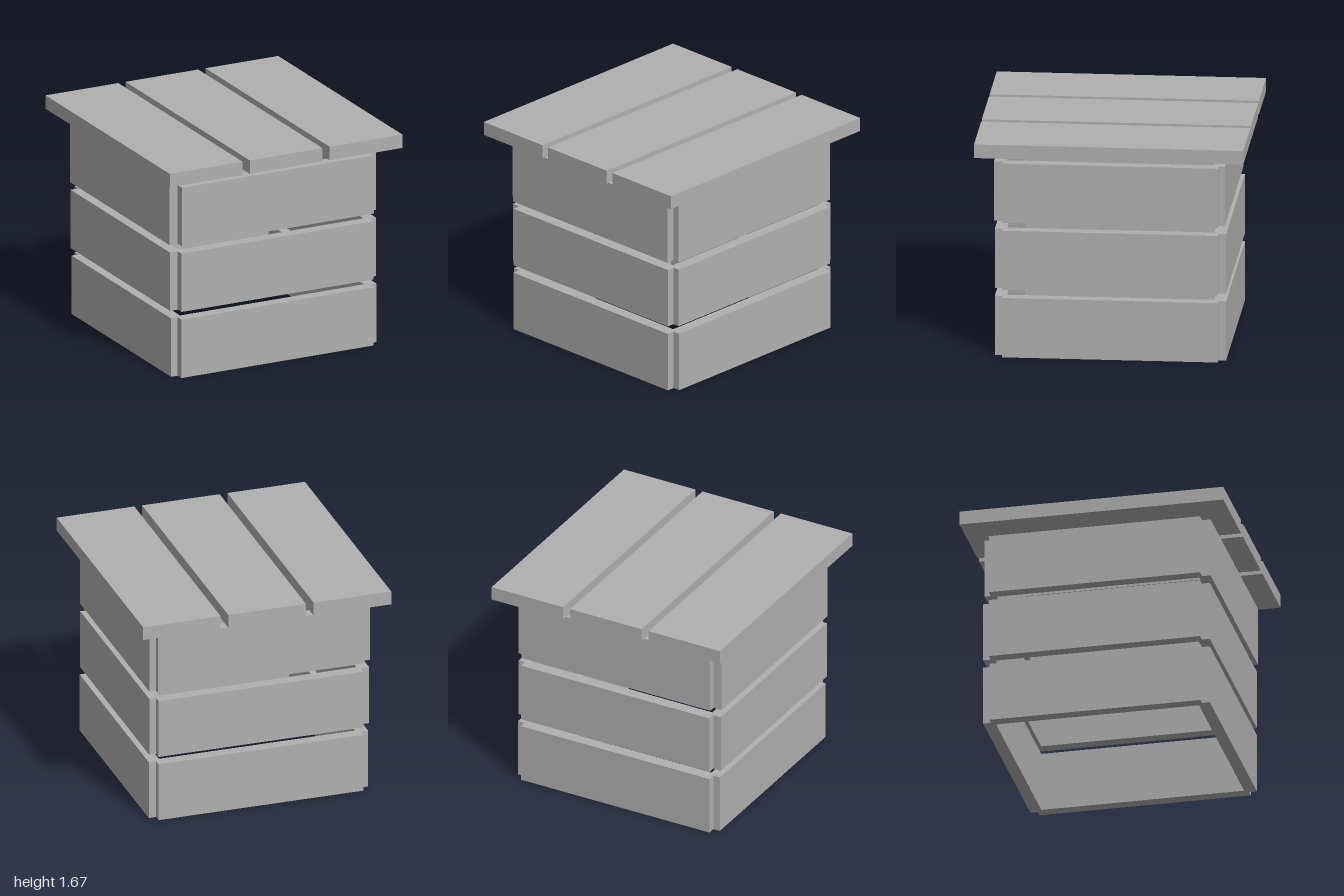
import * as THREE from 'three';

const grey = new THREE.MeshStandardMaterial({ color: 0xb0b0b0 });
grey.name = 'plain grey';

// Box given by its extents along each axis
function board(name, [x0, x1], [y0, y1], [z0, z1]) {
  const mesh = new THREE.Mesh(new THREE.BoxGeometry(x1 - x0, y1 - y0, z1 - z0), grey);
  mesh.position.set((x0 + x1) / 2, (y0 + y1) / 2, (z0 + z1) / 2);
  mesh.name = name;
  return mesh;
}

export function createModel() {
  const crate = new THREE.Group();
  crate.name = 'plankCrate';
  const span = [-0.8, 0.8];
  const thick = 0.09;

  // Three tiers of wall boards, with outer faces slightly out of line
  const tiers = [
    { name: 'lowerTier', y: [0, 0.457], left: 0.857, right: -0.855, front: 0.86, back: -0.858 },
    { name: 'middleTier', y: [0.517, 0.974], left: 0.853, right: -0.864, front: 0.86, back: -0.858 },
    { name: 'upperTier', y: [1.035, 1.492], left: 0.853, right: -0.87, front: 0.866, back: -0.848 },
  ];
  for (const t of tiers) {
    const tier = new THREE.Group();
    tier.name = t.name;
    tier.add(
      board('frontBoard', span, t.y, [t.front - thick, t.front]),
      board('backBoard', span, t.y, [t.back, t.back + thick]),
      board('leftBoard', [t.left - thick, t.left], t.y, span),
      board('rightBoard', [t.right, t.right + thick], t.y, span),
    );
    crate.add(tier);
  }

  // Lid of three planks running front to back
  const lid = new THREE.Group();
  lid.name = 'lid';
  ['rightPlank', 'middlePlank', 'leftPlank'].forEach((name, i) => {
    const x = (i - 1) * 0.666;
    lid.add(board(name, [x - 0.303, x + 0.303], [1.563, 1.668], [-1, 1]));
  });
  crate.add(lid);
  return crate;
}
